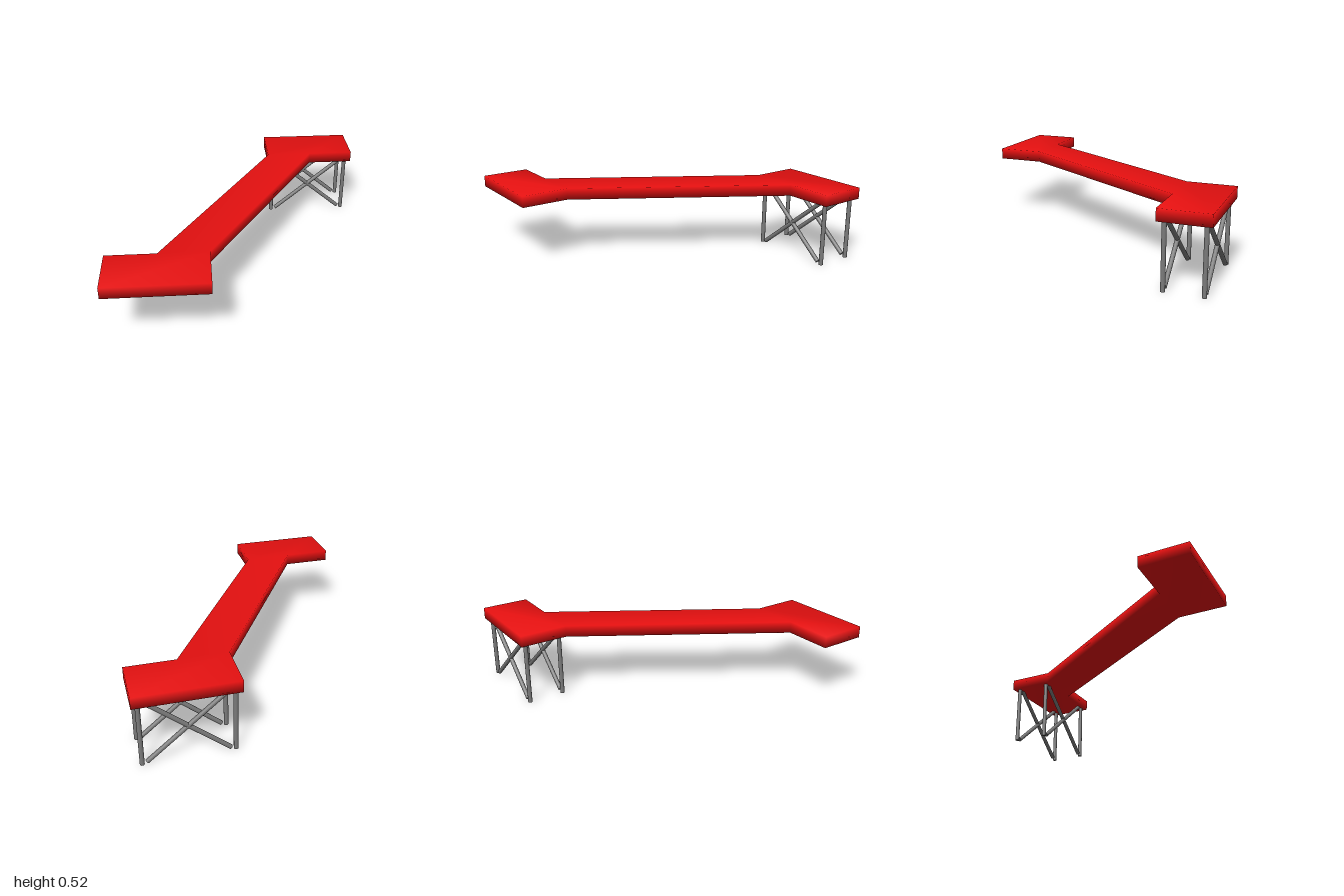
import * as THREE from 'three';
import { mergeVertices } from 'three/addons/utils/BufferGeometryUtils.js';

const red = new THREE.MeshStandardMaterial({ name: 'red', color: 0xe51010 });
const grey = new THREE.MeshStandardMaterial({ name: 'steel grey', color: 0x7a7a7a });

const DECK_BOTTOM = 0.44, DECK_TOP = 0.52, ROD = 0.015;

// Round rod between two points
function rod(name, a, b) {
  const from = new THREE.Vector3(...a), to = new THREE.Vector3(...b);
  const dir = to.clone().sub(from);
  const mesh = new THREE.Mesh(new THREE.CylinderGeometry(ROD, ROD, dir.length(), 16), grey);
  mesh.name = name;
  mesh.position.copy(from).add(to).multiplyScalar(0.5);
  mesh.quaternion.setFromUnitVectors(new THREE.Vector3(0, 1, 0), dir.normalize());
  return mesh;
}

// Z-shaped walkway: two landings joined by a slanted run, with soft shared normals
function makeDeck() {
  const half = [[0.25, -0.667], [0.25, -1], [0.915, -1], [0.915, -0.667], [0.583, -0.667]];
  const outline = [...half, ...half.map(([x, z]) => [-x, -z])];
  const shape = new THREE.Shape(outline.map(([x, z]) => new THREE.Vector2(x, -z)));
  let geometry = new THREE.ExtrudeGeometry(shape, { depth: DECK_TOP - DECK_BOTTOM, bevelEnabled: false });
  geometry.rotateX(-Math.PI / 2);
  geometry.deleteAttribute('uv');
  geometry.deleteAttribute('normal');
  geometry = mergeVertices(geometry, 1e-4);
  geometry.computeVertexNormals();
  const deck = new THREE.Mesh(geometry, red);
  deck.name = 'deck';
  deck.position.y = DECK_BOTTOM;
  return deck;
}

export function createModel() {
  const model = new THREE.Group();
  model.name = 'walkway';
  model.add(makeDeck());

  // Four legs under the rear landing, cross-braced front and back
  const supports = new THREE.Group();
  supports.name = 'supports';
  for (const z of [-0.706, -0.957]) {
    for (const x of [0.288, 0.873]) supports.add(rod('leg', [x, 0, z], [x, DECK_BOTTOM + 0.01, z]));
    for (const [x0, x1] of [[0.32, 0.842], [0.842, 0.32]]) {
      supports.add(rod('brace', [x0, 0.015, z], [x1, 0.45, z]));
    }
  }
  model.add(supports);
  return model;
}
